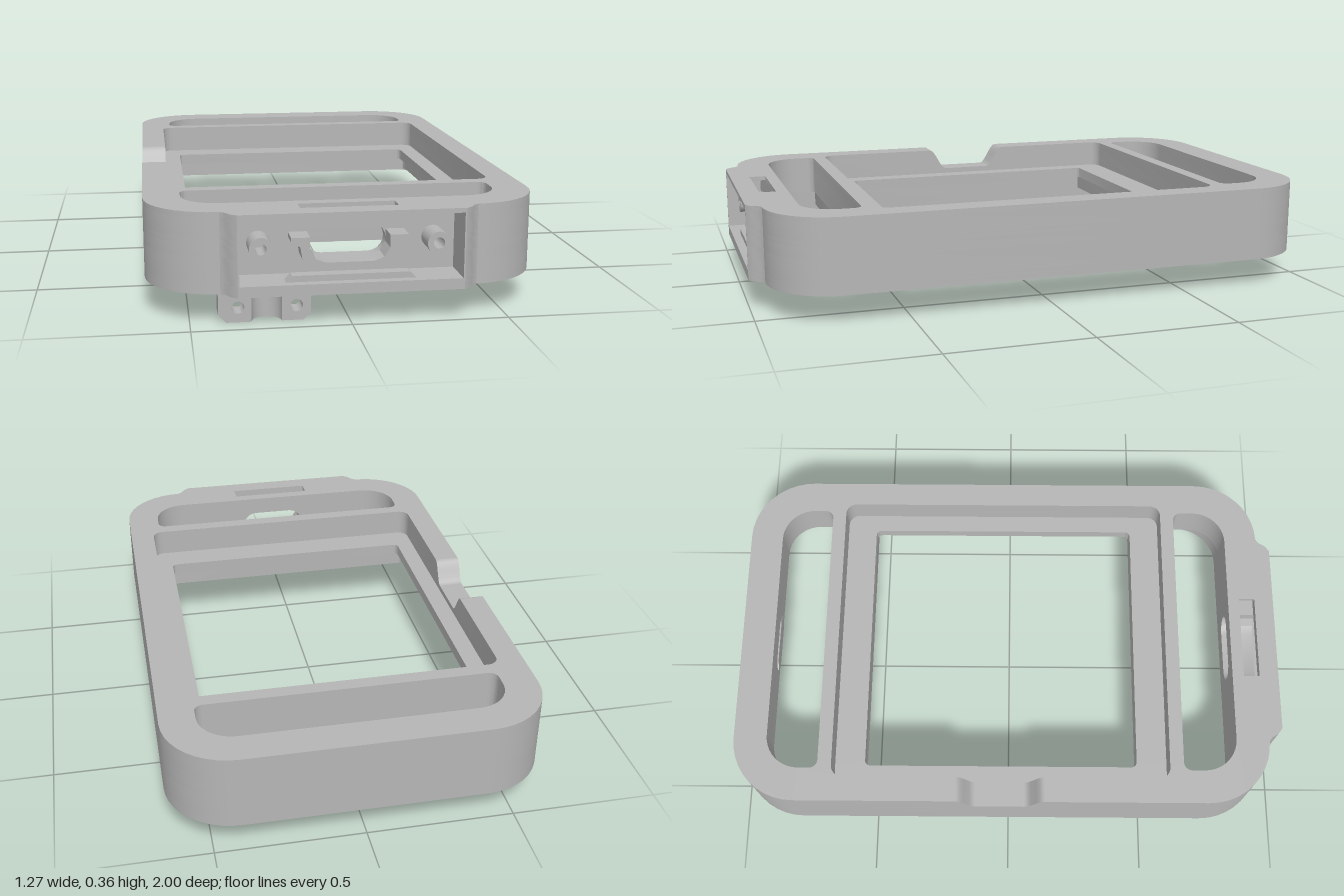
import * as THREE from 'three';
import { toCreasedNormals } from 'three/addons/utils/BufferGeometryUtils.js';

const P = (x, y) => new THREE.Vector2(x, y);
const SEG = 10;

// Points on an arc, angles in degrees
function arc(cx, cy, r, a0, a1, n = SEG) {
  const pts = [];
  for (let i = 0; i <= n; i++) {
    const a = THREE.MathUtils.degToRad(a0 + (a1 - a0) * i / n);
    pts.push(P(cx + r * Math.cos(a), cy + r * Math.sin(a)));
  }
  return pts;
}

// Rounded rectangle in x/z, starting at the front edge and running over -x to the back
function roundRect(hx, z0, z1, rBack, rFront, cx = 0) {
  return [
    ...arc(cx - hx + rFront, z1 - rFront, rFront, 90, 180),
    ...arc(cx - hx + rBack, z0 + rBack, rBack, 180, 270),
    ...arc(cx + hx - rBack, z0 + rBack, rBack, 270, 360),
    ...arc(cx + hx - rFront, z1 - rFront, rFront, 0, 90),
  ];
}

// Outer outline; extra points may be inserted on the -x side
function outline(sideGap = []) {
  const lip = [[0.355, 1], [0.375, 0.985], [0.39, 0.96]];
  return [
    ...lip.map(([x, z]) => P(x, z)),
    ...arc(0.405, 0.72, 0.23, 90, 0),
    ...arc(0.405, -0.77, 0.23, 0, -90),
    ...arc(-0.405, -0.77, 0.23, -90, -180),
    ...sideGap,
    ...arc(-0.405, 0.72, 0.23, 180, 90),
    ...lip.reverse().map(([x, z]) => P(-x, z)),
  ];
}

function extrude(points, holes, depth) {
  const shape = new THREE.Shape(points);
  holes.forEach(h => shape.holes.push(new THREE.Path(h)));
  return new THREE.ExtrudeGeometry(shape, { depth, bevelEnabled: false });
}

export function createModel() {
  const model = new THREE.Group();
  model.name = 'deviceFrame';
  const grey = new THREE.MeshStandardMaterial({ color: 0xb6b6b6 });
  grey.name = 'grey plastic';

  function add(name, geometry) {
    const mesh = new THREE.Mesh(toCreasedNormals(geometry, 0.5), grey);
    mesh.name = name;
    model.add(mesh);
    return mesh;
  }
  // Horizontal slab, drawn in x/z
  const slab = (name, points, holes, y0, y1) =>
    add(name, extrude(points, holes, y1 - y0).rotateX(Math.PI / 2).translate(0, y1, 0));
  // Upright plate, drawn in x/y
  const plate = (name, points, holes, z0, z1) =>
    add(name, extrude(points, holes, z1 - z0).translate(0, 0, z0));

  // Openings
  const cavity = roundRect(0.565, -0.93, 0.83, 0.16, 0.15);
  const backSlot = roundRect(0.515, -0.88, -0.69, 0.12, 0.03);
  const frontSlot = roundRect(0.515, 0.635, 0.83, 0.03, 0.12);
  const recess = roundRect(0.545, -0.64, 0.585, 0.04, 0.04);
  const window_ = roundRect(0.48, -0.53, 0.475, 0.02, 0.02);
  const topSlot = roundRect(0.155, 0.872, 0.93, 0.004, 0.004);

  // The recess breaks out through the -x wall at the side notch
  const n = SEG + 1, gapBack = -0.19, gapFront = 0.13;
  const sideGap = [
    P(-0.635, gapBack), P(-0.545, gapBack),
    ...recess.slice(n), ...recess.slice(0, n),
    P(-0.545, gapFront), P(-0.635, gapFront),
  ];
  // Outline whose front pocket opens into an inner opening
  const openFront = (inner, gap) =>
    [...outline(gap), P(-0.35, 1), P(-0.35, 0.83), ...inner, P(0.35, 0.83), P(0.35, 1)];

  // Frame, from the bottom rim to the top face
  slab('bottomRim', outline(), [roundRect(0.6, -0.965, 0.85, 0.195, 0.17)], 0.1, 0.12);
  slab('lowerWall', outline(), [cavity], 0.12, 0.135);
  slab('sideWall', openFront(cavity), [], 0.135, 0.22);
  slab('innerLedge', openFront(frontSlot), [backSlot, window_], 0.22, 0.26);
  slab('upperWall', openFront(frontSlot), [backSlot, recess], 0.26, 0.28);
  slab('notchedWall', openFront(frontSlot, sideGap), [backSlot], 0.28, 0.345);
  slab('topFace', outline(sideGap), [backSlot, frontSlot, topSlot], 0.345, 0.36);

  // Curved flanks of the side notch
  for (const [z, dir] of [[gapBack, 1], [gapFront, -1]]) {
    const profile = [P(0, 0.28)];
    for (let i = 0; i <= 12; i++) {
      const t = i / 12;
      profile.push(P(dir * 0.07 * t, 0.28 + 0.04 * (1 + Math.cos(Math.PI * t))));
    }
    profile.pop();
    profile.push(P(dir * 0.07, 0.28));
    add('notchFlank', extrude(profile, [], 0.09)
      .rotateY(-Math.PI / 2).translate(-0.545, 0, z));
  }

  // Cross bars with strap slots on the underside
  for (const [z0, z1] of [[-0.69, -0.53], [0.475, 0.635]]) {
    const zc = (z0 + z1) / 2;
    const slots = [[-0.41, 0.035], [-0.25, 0.08], [0.25, 0.08], [0.41, 0.035]]
      .map(([x, hw]) => roundRect(hw, zc - 0.022, zc + 0.022, 0.015, 0.015, x));
    slab('crossBar', roundRect(0.5, z0, z1, 0.01, 0.01), slots, 0.17, 0.22);
  }

  // Small hexagonal panel inside the back wall
  plate('backPanel', [P(-0.11, 0.26), P(-0.08, 0.235), P(0.08, 0.235), P(0.11, 0.26),
    P(0.08, 0.285), P(-0.08, 0.285)], [], -0.882, -0.875);

  // Front pocket wall with connector opening
  const stadium = [...arc(-0.075, 0.24, 0.052, 90, 270), ...arc(0.075, 0.24, 0.052, -90, 90)];
  plate('pocketWall', [P(-0.35, 0.135), P(0.35, 0.135), P(0.35, 0.345), P(-0.35, 0.345)],
    [stadium], 0.83, 0.87);

  // Connector cradle
  const right = [[0.075, 0.188], [0.108, 0.2], [0.126, 0.23], [0.126, 0.27], [0.185, 0.27],
    [0.185, 0.255], [0.157, 0.24], [0.15, 0.2], [0.12, 0.175]];
  plate('connectorCradle', [...right.map(([x, y]) => P(x, y)),
    ...right.slice().reverse().map(([x, y]) => P(-x, y))], [], 0.87, 0.95);

  // Ribs above and below the connector
  for (const [edge, inner] of [[0.345, 0.325], [0.135, 0.155]]) {
    plate('pocketRib', [P(-0.205, edge), P(0.205, edge), P(0.185, inner), P(-0.185, inner)],
      [], 0.93, 0.97);
  }

  // Screw bosses
  for (const x of [-0.28, 0.28]) {
    plate('screwBoss', arc(x, 0.24, 0.037, 0, 345, 23), [arc(x, 0.24, 0.018, 0, 345, 23)],
      0.87, 0.96);
  }

  // Lower mounting tab: two drilled lugs with a grooved web between
  for (const [outer, inner, hole] of [[-0.412, -0.308, -0.35], [-0.12, -0.212, -0.166]]) {
    const c = Math.sign(inner - outer) * 0.025;
    plate('tabLug', [P(outer, 0.1), P(outer, 0.025), P(outer + c, 0), P(inner, 0), P(inner, 0.1)],
      [arc(hole, 0.048, 0.02, 0, 345, 23)], 0.86, 0.93);
  }
  slab('tabGroove', [P(-0.212, 0.86), P(-0.308, 0.86), ...arc(-0.26, 0.93, 0.048, 180, 360)],
    [], 0, 0.1);

  return model;
}
